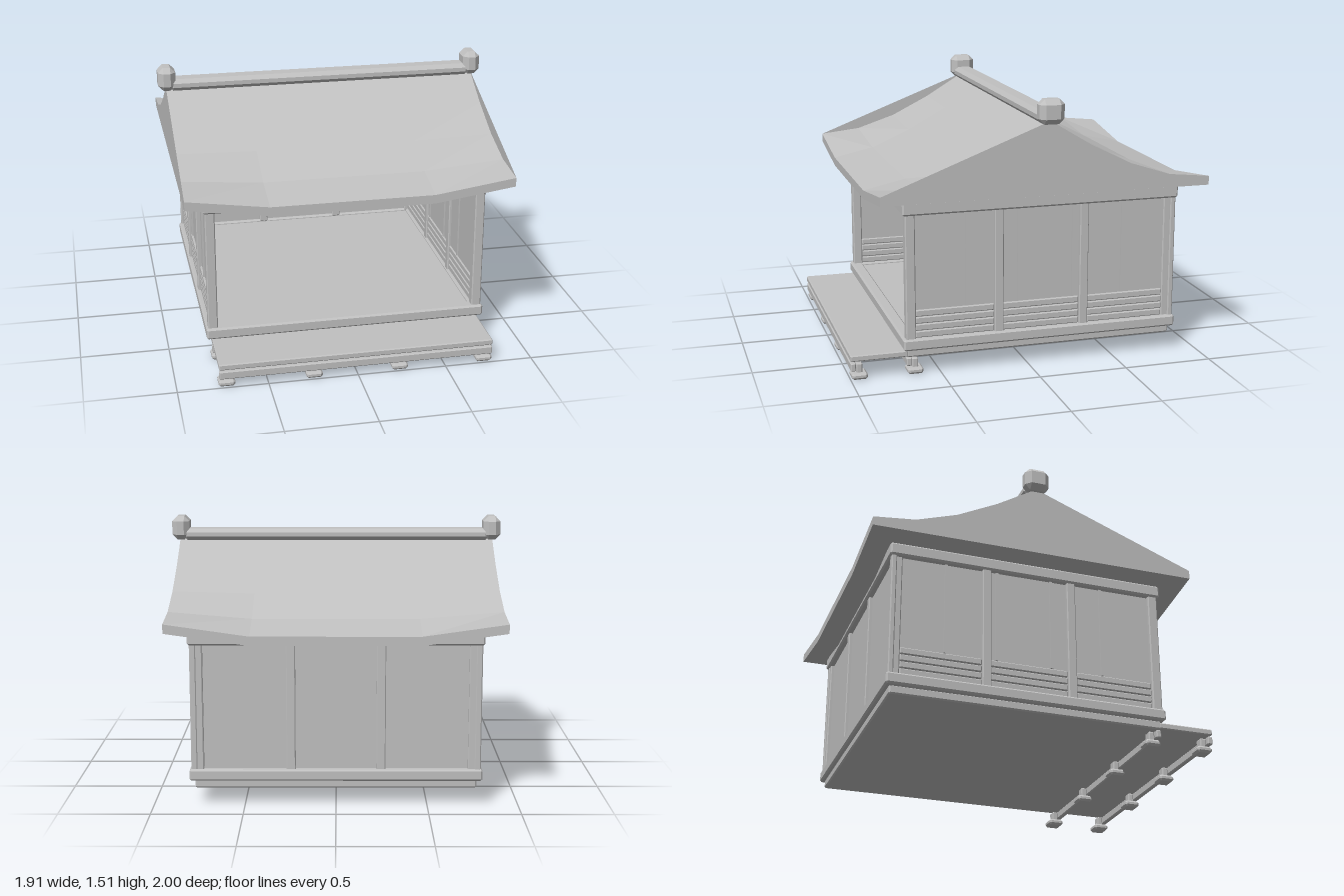
import * as THREE from 'three';
import { ConvexGeometry } from 'three/addons/geometries/ConvexGeometry.js';

const stone = new THREE.MeshStandardMaterial({ color: 0xc0c0c0, side: THREE.DoubleSide });
stone.name = 'plain grey';

// Box with chamfered edges, given by its min and max corners
function chamferBox(x0, x1, y0, y1, z0, z1, c) {
  const h = [(x1 - x0) / 2, (y1 - y0) / 2, (z1 - z0) / 2];
  const pts = [];
  for (let axis = 0; axis < 3; axis++)
    for (const sx of [-1, 1]) for (const sy of [-1, 1]) for (const sz of [-1, 1]) {
      const p = [sx, sy, sz].map((s, k) => s * (h[k] - (k === axis ? 0 : c)));
      pts.push(new THREE.Vector3(...p));
    }
  return new ConvexGeometry(pts).translate((x0 + x1) / 2, (y0 + y1) / 2, (z0 + z1) / 2);
}

function add(group, name, geometry) {
  const mesh = new THREE.Mesh(geometry, stone);
  mesh.name = name;
  group.add(mesh);
  return mesh;
}

function box(group, name, x0, x1, y0, y1, z0, z1, c = 0) {
  const g = c > 0 ? chamferBox(x0, x1, y0, y1, z0, z1, c)
    : new THREE.BoxGeometry(x1 - x0, y1 - y0, z1 - z0)
      .translate((x0 + x1) / 2, (y0 + y1) / 2, (z0 + z1) / 2);
  return add(group, name, g);
}

// Curved roof: sections along x with upswept corners, closed below
function roofGeometry() {
  const mid = -0.075;
  const off = [0, 0.23, 0.46, 0.69, 0.925];
  const height = [1.395, 1.255, 1.128, 1.027, 0.975];
  const lift = [0, 0, 0.012, 0.038, 0.065];
  const section = (x, up) => {
    const y = height.map((v, i) => v + lift[i] * up);
    const pts = [[x, y[4] - 0.05, mid + off[4]]];
    for (let i = 4; i >= 0; i--) pts.push([x, y[i], mid + off[i]]);
    for (let i = 1; i <= 4; i++) pts.push([x, y[i], mid - off[i]]);
    pts.push([x, y[4] - 0.05, mid - off[4]]);
    return pts;
  };
  const rows = [section(-0.91, 1), section(-0.455, 0), section(0.455, 0), section(0.91, 1)];
  const out = [];
  const tri = (a, b, c) => out.push(...a, ...b, ...c);
  const n = rows[0].length;
  for (let i = 0; i < 3; i++)
    for (let j = 0; j < n; j++) {
      const k = (j + 1) % n;
      const [a, b, c, d] = [rows[i][j], rows[i + 1][j], rows[i + 1][k], rows[i][k]];
      tri(a, b, c);
      tri(a, c, d);
    }
  // gable ends, straight on the front slope and curved on the back
  for (const row of [rows[0], rows[3]]) {
    const rim = [row[1], ...row.slice(5)];
    for (let j = 0; j < rim.length - 1; j++) {
      if (row === rows[0]) tri(row[0], rim[j], rim[j + 1]);
      else tri(row[0], rim[j + 1], rim[j]);
    }
  }
  const g = new THREE.BufferGeometry();
  g.setAttribute('position', new THREE.Float32BufferAttribute(out, 3));
  g.computeVertexNormals();
  return g;
}

export function createModel() {
  const model = new THREE.Group();
  model.name = 'pavilion';
  const part = (name) => {
    const g = new THREE.Group();
    g.name = name;
    model.add(g);
    return g;
  };
  const F = 0.71, B = -0.87, X = 0.8;

  // Base, floor and the beam rings at bottom and top of the walls
  const frame = part('frame');
  box(frame, 'base', -0.77, 0.77, 0.1, 0.15, -0.845, 0.69, 0.008);
  box(frame, 'floor', -0.75, 0.75, 0.14, 0.195, -0.82, 0.66);
  for (const [name, y0, y1] of [['sill', 0.145, 0.21], ['topBeam', 0.9, 0.972]]) {
    for (const s of [-1, 1])
      box(frame, name, s > 0 ? 0.73 : -X, s > 0 ? X : -0.73, y0, y1, B, F, 0.01);
    box(frame, name, -X, X, y0, y1, F - 0.07, F, 0.01);
    box(frame, name, -X, X, y0, y1, B, B + 0.07, 0.01);
  }
  for (const s of [-1, 1]) {
    const at = (a, b) => (s > 0 ? [a, b] : [-b, -a]);
    box(frame, 'frontPost', ...at(0.735, 0.79), 0.2, 0.91, 0.64, 0.695, 0.006);
    box(frame, 'backPost', ...at(0.72, 0.775), 0.2, 0.91, -0.855, -0.795, 0.006);
    box(frame, 'cornerPost', ...at(0.755, 0.79), 0.2, 0.91, -0.86, -0.83, 0.006);
  }

  // Back wall: three plain bays
  const back = part('backWall');
  box(back, 'panel', -0.75, 0.75, 0.2, 0.91, -0.835, -0.815);
  for (const x of [-0.245, 0.245])
    box(back, 'post', x - 0.025, x + 0.025, 0.2, 0.91, -0.855, -0.795, 0.005);

  // Side walls: three bays with slim bars and low boards
  const bays = [
    { z0: 0.195, z1: 0.64, bars: [0.35] },
    { z0: -0.295, z1: 0.145, bars: [0.055, -0.26] },
    { z0: -0.795, z1: -0.345, bars: [-0.55] },
  ];
  for (const s of [-1, 1]) {
    const wall = part(s > 0 ? 'leftWall' : 'rightWall');
    const at = (a, b) => (s > 0 ? [a, b] : [-b, -a]);
    box(wall, 'panel', ...at(0.75, 0.765), 0.2, 0.91, -0.82, 0.66);
    for (const z of [0.17, -0.32])
      box(wall, 'post', ...at(0.735, 0.79), 0.2, 0.91, z - 0.025, z + 0.025, 0.005);
    for (const { z0, z1, bars } of bays) {
      for (const z of bars)
        box(wall, 'bar', ...at(0.742, 0.775), 0.37, 0.905, z - 0.007, z + 0.007);
      for (let i = 0; i < 4; i++) {
        const y = 0.21 + i * 0.04;
        box(wall, 'board', ...at(0.742, 0.776), y, y + 0.037, z0, z1, 0.005);
      }
    }
  }

  // Front deck on beams, short posts and pad feet
  const deck = part('deck');
  box(deck, 'deckBoard', -0.77, 0.77, 0.105, 0.14, 0.68, 1, 0.006);
  for (const z of [1, 0.69]) {
    box(deck, 'deckBeam', -0.77, 0.77, 0.05, 0.097, z - 0.03, z, 0.006);
    for (const x of [-0.727, -0.242, 0.242, 0.727]) {
      box(deck, 'deckPost', x - 0.025, x + 0.025, 0.03, 0.088, z - 0.068, z - 0.034, 0.006);
      box(deck, 'foot', x - 0.046, x + 0.046, 0, 0.037, z - 0.095, z - 0.006, 0.012);
    }
  }

  // Roof, ridge cap and end blocks
  const top = part('roof');
  add(top, 'roofShell', roofGeometry());
  box(top, 'ridge', -0.89, 0.89, 1.375, 1.443, -0.135, -0.018, 0.022);
  for (const x of [-0.905, 0.905])
    box(top, 'ridgeEnd', x - 0.05, x + 0.05, 1.378, 1.515, -0.146, -0.005, 0.03);
  return model;
}
